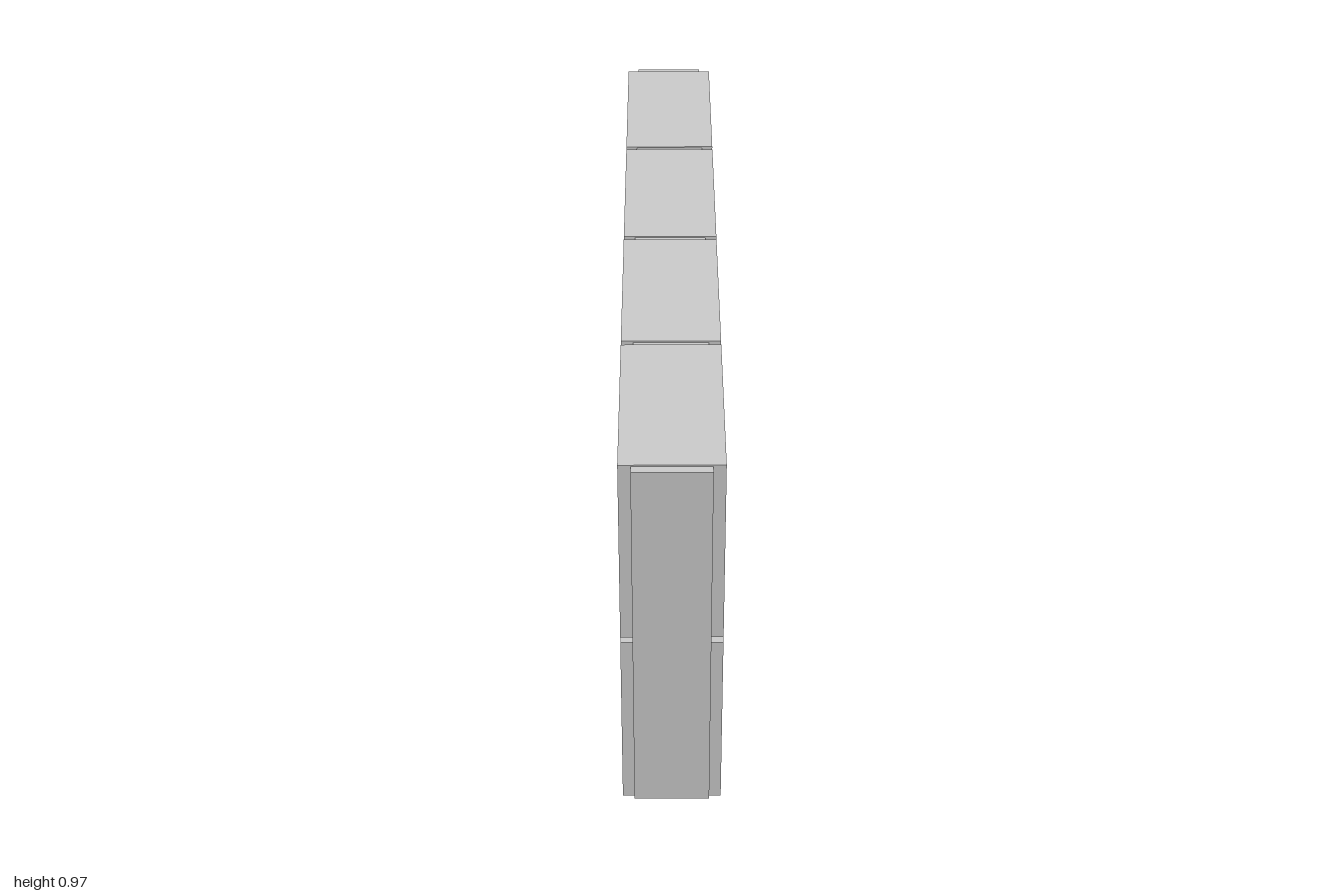
import * as THREE from 'three';

export function createModel() {
  const wall = new THREE.Group();
  wall.name = 'blockWall';
  const material = new THREE.MeshStandardMaterial({ color: 0xcccccc, flatShading: true });

  const addBox = (name, w, h, d, x, y, z) => {
    const mesh = new THREE.Mesh(new THREE.BoxGeometry(w, h, d), material);
    mesh.name = name;
    mesh.position.set(x, y, z);
    wall.add(mesh);
  };

  // Recessed core: visible in the joints and at both ends
  const coreBottom = 0.012, coreTop = 0.967;
  addBox('mortarCore', 0.177, coreTop - coreBottom, 2, 0, (coreBottom + coreTop) / 2, 0);

  // Two courses of four square blocks, separated by narrow joints
  const size = 0.4775, joint = 0.0155, pitch = size + joint;
  for (let row = 0; row < 2; row++) {
    for (let col = 0; col < 4; col++) {
      addBox(`block${row + 1}_${col + 1}`, 0.233, size, size,
        0, size / 2 + row * pitch, (col - 1.5) * pitch);
    }
  }
  return wall;
}
